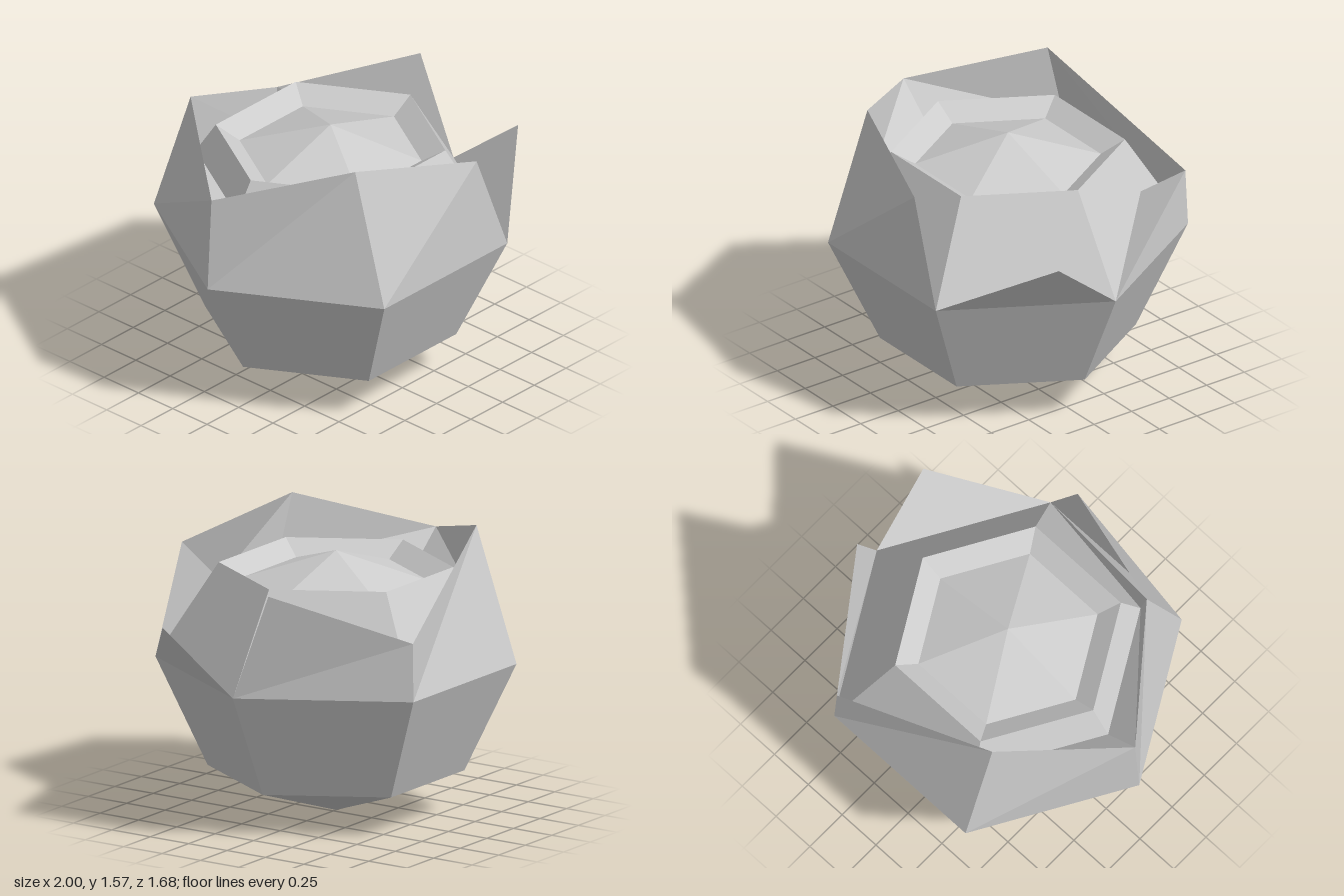
import * as THREE from 'three';

const material = new THREE.MeshStandardMaterial({ color: 0xcccccc, flatShading: true, side: THREE.DoubleSide });
const CENTRE_X = -0.025;

// Six-sided solid of revolution from [radius, height] pairs, corners on the x axis
function hexLathe(name, profile) {
  const points = profile.map(([r, y]) => new THREE.Vector2(r, y));
  const mesh = new THREE.Mesh(new THREE.LatheGeometry(points, 6, Math.PI / 2), material);
  mesh.position.x = CENTRE_X;
  mesh.name = name;
  return mesh;
}

// Flat faces: each polygon is fanned from its first corner
function faceted(name, polygons) {
  const pos = [];
  for (const p of polygons)
    for (let i = 1; i < p.length - 1; i++) pos.push(...p[0], ...p[i], ...p[i + 1]);
  const geometry = new THREE.BufferGeometry();
  geometry.setAttribute('position', new THREE.Float32BufferAttribute(pos, 3));
  geometry.computeVertexNormals();
  const mesh = new THREE.Mesh(geometry, material);
  mesh.name = name;
  return mesh;
}

// Corner k of a hexagon ring, counted from +x towards +z
function corner(r, y, k) {
  const a = (k * Math.PI) / 3;
  return [CENTRE_X + r * Math.cos(a), y, r * Math.sin(a)];
}

const mirrorZ = ([x, y, z]) => [x, y, -z];

export function createModel() {
  const group = new THREE.Group();

  // Pointed bowl, and the core rising inside it to a rim with a sunken low dome
  group.add(hexLathe('bowl', [[0, 0], [0.69, 0.235], [0.97, 0.83]]));
  group.add(hexLathe('core', [[0.97, 0.83], [0.63, 1.36], [0.5, 1.28], [0, 1.44]]));

  // Shared corners: girdle, inner feet on the core's slope, and petal tips
  const girdle = [0, 1, 2, 3, 4, 5].map((k) => corner(0.97, 0.83, k));
  const sideFoot = corner(0.74, 1.19, 3), frontFoot = corner(0.74, 1.19, 2);
  const sideTip = [-0.965, 1.365, 0], peak = [-0.48, 1.57, 0.6];
  const backFoot = mirrorZ(frontFoot), backPeak = mirrorZ(peak);
  const frontTip = [0.24, 1.42, 0.82], backTip = [0.45, 1.15, -0.83];

  // Two mirrored petals on the right, with outer face and inner wall
  group.add(faceted('rightFrontPetal', [
    [girdle[3], girdle[2], peak, sideTip],
    [sideTip, peak, frontFoot, sideFoot],
  ]));
  group.add(faceted('rightBackPetal', [
    [girdle[4], girdle[3], sideTip, backPeak],
    [sideTip, sideFoot, backFoot, backPeak],
  ]));

  // Front and back petals, tapering inside to the girdle
  group.add(faceted('frontPetal', [
    [girdle[2], girdle[1], frontTip, peak],
    [peak, girdle[1], frontFoot],
  ]));
  group.add(faceted('backPetal', [
    [girdle[5], girdle[4], backPeak, backTip],
    [backPeak, backFoot, girdle[5]],
  ]));

  // Thin broken petals on the left
  group.add(faceted('leftFrontPetal', [[girdle[1], girdle[0], [1, 1.17, 0.42]]]));
  group.add(faceted('leftBackPetal', [[girdle[0], girdle[5], backTip, [0.9, 1.415, -0.2]]]));

  return group;
}
